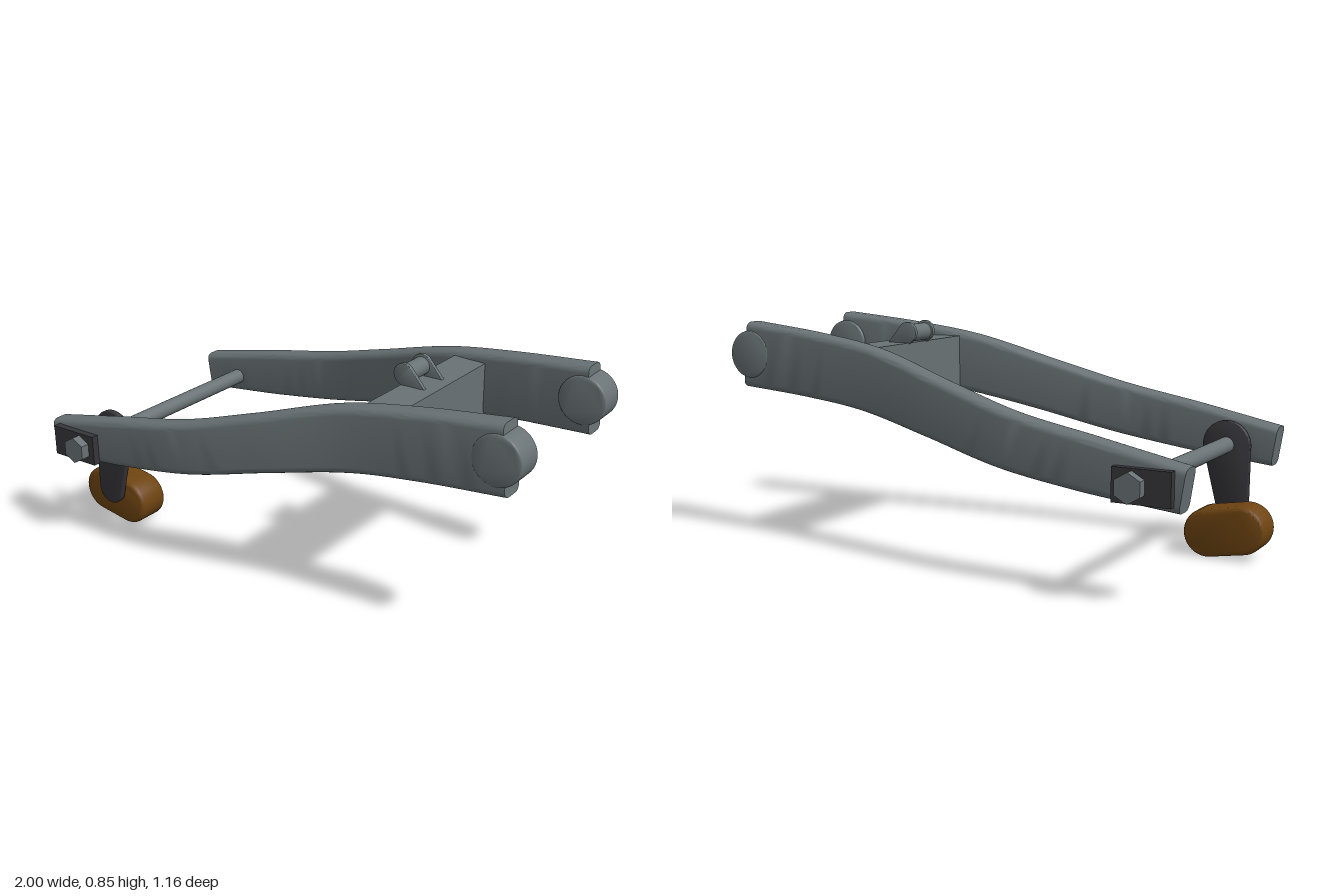
import * as THREE from 'three';
import { toCreasedNormals } from 'three/addons/utils/BufferGeometryUtils.js';

const mat = (name, color, side = THREE.FrontSide) => {
  const m = new THREE.MeshStandardMaterial({ color, side });
  m.name = name;
  return m;
};

export function createModel() {
  const root = new THREE.Group();
  root.name = 'swingArm';
  const steel = mat('steelGrey', 0x697275);
  const dark = mat('darkMetal', 0x36363b);
  const brown = mat('brownPad', 0x6e4411);

  const add = (name, geo, material, x = 0, y = 0, z = 0) => {
    const mesh = new THREE.Mesh(geo, material);
    mesh.name = name;
    mesh.position.set(x, y, z);
    root.add(mesh);
    return mesh;
  };
  // Cylinder with its axis along z
  const zCyl = (r, len, sides = 32) => new THREE.CylinderGeometry(r, r, len, sides).rotateX(Math.PI / 2);

  // Outline wrapped around two circles (a tapered link)
  const linkShape = (x1, y1, r1, x2, y2, r2) => {
    const base = Math.atan2(y2 - y1, x2 - x1);
    const off = Math.acos((r1 - r2) / Math.hypot(x2 - x1, y2 - y1));
    const s = new THREE.Shape();
    s.absarc(x1, y1, r1, base + off, base - off + 2 * Math.PI, false);
    s.absarc(x2, y2, r2, base - off, base + off, false);
    s.closePath();
    return s;
  };
  // Extrusion between two z values with a rounded rim kept inside the outline
  const slab = (shape, z0, z1, bevel) => toCreasedNormals(new THREE.ExtrudeGeometry(shape, {
    depth: z1 - z0 - 2 * bevel, bevelEnabled: bevel > 0, bevelSize: bevel, bevelThickness: bevel,
    bevelOffset: -bevel, bevelSegments: 4, curveSegments: 24,
  }).translate(0, 0, z0 + bevel), 0.6);

  // Rounded rectangle in (z, y)
  const roundedRect = (w, h, r) => {
    const pts = [];
    [[1, 1], [-1, 1], [-1, -1], [1, -1]].forEach(([sx, sy], q) => {
      for (let i = 0; i <= 5; i++) {
        const a = (q + i / 5) * Math.PI / 2;
        pts.push([sx * (w / 2 - r) + r * Math.cos(a), sy * (h / 2 - r) + r * Math.sin(a)]);
      }
    });
    return pts;
  };

  // Curved arm lofted along its centre line: x, y, z, height, width
  const stations = [
    [-0.957, 0.40, 0.47, 0.153, 0.09], [-0.6, 0.455, 0.47, 0.188, 0.09],
    [-0.3, 0.507, 0.46, 0.2, 0.09], [0, 0.583, 0.417, 0.212, 0.092],
    [0.33, 0.664, 0.361, 0.238, 0.092], [0.6, 0.70, 0.337, 0.247, 0.095],
    [0.932, 0.728, 0.316, 0.256, 0.1],
  ];
  const path = new THREE.CatmullRomCurve3(stations.map(s => new THREE.Vector3(s[0], s[1], s[2])));
  const sizes = new THREE.CatmullRomCurve3(stations.map(s => new THREE.Vector3(s[3], s[4], 0)));
  const armGeometry = side => {
    const pos = [], idx = [], N = 48, M = 24;
    for (let i = 0; i <= N; i++) {
      const t = i / N, c = path.getPoint(t), d = path.getTangent(t), s = sizes.getPoint(t);
      const a = Math.atan2(d.y, d.x);
      for (const [z, y] of roundedRect(s.y, s.x, 0.026)) {
        pos.push(c.x - y * Math.sin(a), c.y + y * Math.cos(a), side * (c.z + z));
      }
    }
    const tri = (a, b, c) => (side > 0 ? idx.push(a, b, c) : idx.push(a, c, b));
    for (let i = 0; i < N; i++) for (let j = 0; j < M; j++) {
      const a = i * M + j, b = i * M + (j + 1) % M;
      tri(a, a + M, b);
      tri(b, a + M, b + M);
    }
    for (let j = 1; j < M - 1; j++) {
      tri(0, j, j + 1);
      tri(N * M, N * M + j + 1, N * M + j);
    }
    const g = new THREE.BufferGeometry();
    g.setAttribute('position', new THREE.Float32BufferAttribute(pos, 3));
    g.setIndex(idx);
    return toCreasedNormals(g, 0.7);
  };

  for (const side of [1, -1]) {
    const label = side > 0 ? 'front' : 'back';
    add(label + 'Arm', armGeometry(side), steel);
    // Pivot boss at the high end
    const disc = new THREE.Shape().absarc(0, 0, 0.092, 0, Math.PI * 2, false);
    add(label + 'PivotBoss', slab(disc, -0.057, 0.057, 0.008), steel, 0.907, 0.73, side * 0.317);
    // Axle plate and hexagonal bolt head
    add(label + 'AxlePlate', new THREE.BoxGeometry(0.207, 0.118, 0.03), dark, -0.827, 0.409, side * 0.528);
    add(label + 'BoltHead', toCreasedNormals(zCyl(0.052, 0.04, 6), 0.3), steel, -0.795, 0.408, side * 0.559);
  }

  // Axle and cross beam
  add('axle', zCyl(0.031, 1.08), steel, -0.795, 0.408, 0);
  add('crossBeam', new THREE.BoxGeometry(0.138, 0.21, 0.66), steel, 0.43, 0.67, 0);

  // Shock mount: two lugs and a roller between them
  const lug = new THREE.Shape();
  lug.absarc(0.37, 0.815, 0.041, Math.PI * 0.25, Math.PI * 1.25, false);
  lug.lineTo(0.37, 0.765);
  lug.lineTo(0.465, 0.765);
  lug.closePath();
  for (const side of [1, -1]) {
    add('mountLug', slab(lug, -0.008, 0.008, 0.003), steel, 0, 0, side * 0.062);
  }
  add('mountRoller', zCyl(0.034, 0.12), steel, 0.37, 0.812, 0);

  // Hanging link and its pad
  add('hangerLink', slab(linkShape(-0.795, 0.408, 0.093, -0.826, 0.153, 0.06), 0.346, 0.37, 0.006), dark);
  add('pad', slab(linkShape(-0.908, 0.115, 0.0915, -0.777, 0.0925, 0.0915), 0.2, 0.335, 0.018), brown);

  return root;
}
